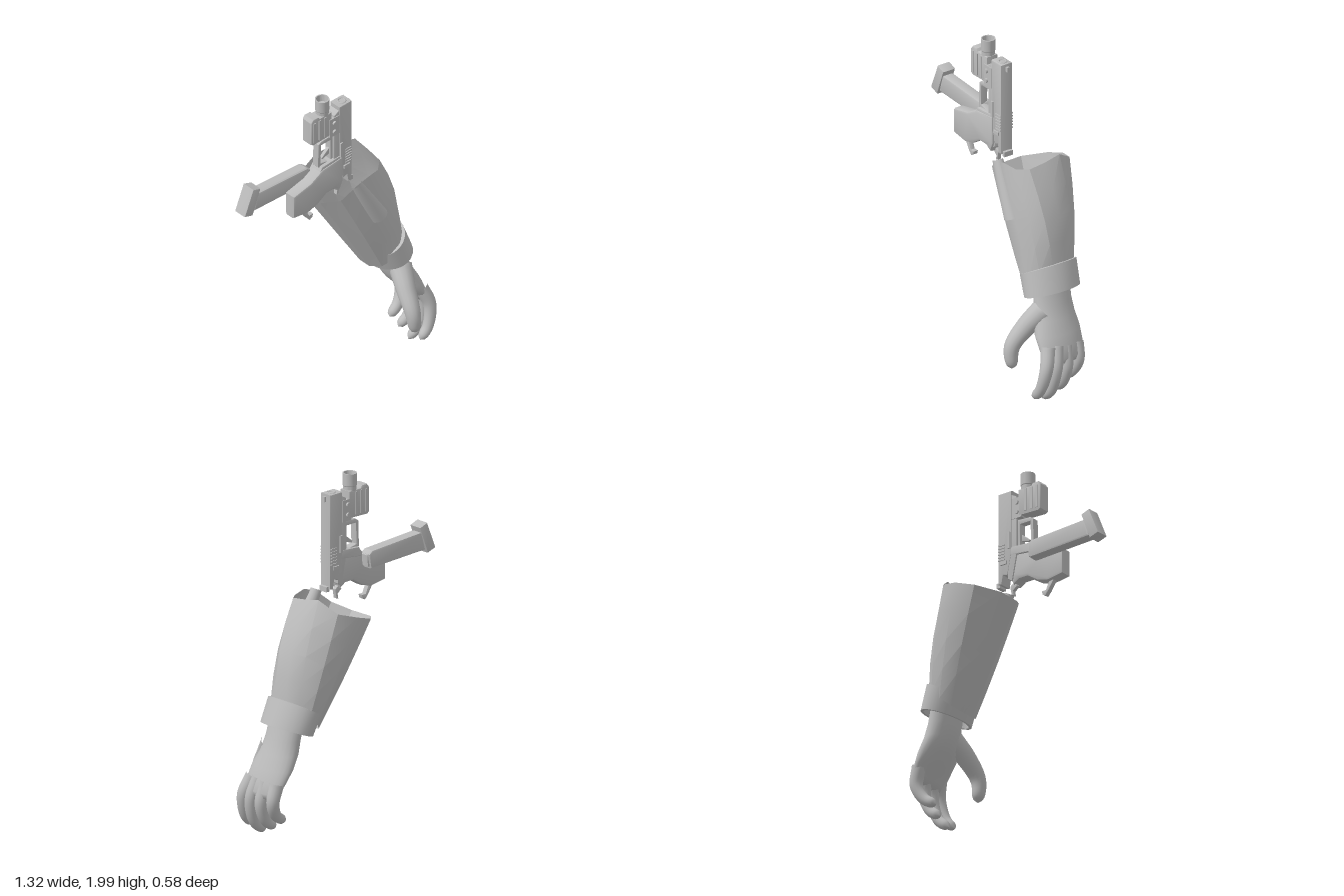
import * as THREE from 'three';
import { mergeVertices, toCreasedNormals } from 'three/addons/utils/BufferGeometryUtils.js';

const grey = new THREE.MeshStandardMaterial({ color: 0xbcbcbc });
grey.name = 'plain grey';
const greySheet = new THREE.MeshStandardMaterial({ color: 0xbcbcbc, side: THREE.DoubleSide });
greySheet.name = 'plain grey sheet';

const V = (x, y, z) => new THREE.Vector3(x, y, z);

function add(group, name, geometry, material = grey) {
  const mesh = new THREE.Mesh(geometry, material);
  mesh.name = name;
  group.add(mesh);
  return mesh;
}

// Skin between closed rings that hold the same number of points
function loft(rings, crease) {
  const n = rings[0].length, pos = [], index = [];
  rings.forEach(r => r.forEach(p => pos.push(p.x, p.y, p.z)));
  for (let r = 0; r < rings.length - 1; r++) {
    for (let i = 0; i < n; i++) {
      const a = r * n + i, b = r * n + (i + 1) % n;
      index.push(a, b, b + n, a, b + n, a + n);
    }
  }
  const g = new THREE.BufferGeometry();
  g.setAttribute('position', new THREE.Float32BufferAttribute(pos, 3));
  g.setIndex(index);
  g.computeVertexNormals();
  return crease ? toCreasedNormals(g, crease) : g;
}

// Ellipse ring in x and z; tilt raises the +x side
function ring(x, y, z, rx, rz, tilt = 0, n = 24) {
  return Array.from({ length: n }, (_, i) => {
    const a = i / n * Math.PI * 2;
    return V(x + rx * Math.cos(a), y + tilt * Math.cos(a), z + rz * Math.sin(a));
  });
}

// Tapered round limb along a curve, with a rounded tip
function limb(points, r0, r1) {
  const curve = new THREE.CatmullRomCurve3(points.map(p => V(...p)));
  const steps = 22, n = 14, frames = curve.computeFrenetFrames(steps);
  const rings = [];
  for (let s = 0; s <= steps; s++) {
    const t = s / steps, c = curve.getPointAt(t);
    const tip = t > 0.86 ? Math.sqrt(Math.max(0.0004, 1 - ((t - 0.86) / 0.14) ** 2)) : 1;
    const r = THREE.MathUtils.lerp(r0, r1, t) * tip;
    rings.push(Array.from({ length: n }, (_, i) => {
      const a = i / n * Math.PI * 2;
      return c.clone().addScaledVector(frames.normals[s], r * Math.cos(a))
        .addScaledVector(frames.binormals[s], r * Math.sin(a));
    }));
  }
  return loft(rings);
}

// Front outline extruded between two z values with a small bevel
function slab(points, z0, z1, bevel = 0.005, smooth = false, hole) {
  const vec = points.map(p => new THREE.Vector2(...p));
  const shape = new THREE.Shape();
  if (smooth) shape.moveTo(vec[0].x, vec[0].y).splineThru([...vec.slice(1), vec[0]]);
  else shape.setFromPoints(vec);
  if (hole) shape.holes.push(new THREE.Path(hole.map(p => new THREE.Vector2(...p))));
  const g = new THREE.ExtrudeGeometry(shape, {
    depth: z1 - z0 - 2 * bevel, bevelEnabled: bevel > 0, bevelSize: bevel,
    bevelThickness: bevel, bevelOffset: -bevel, bevelSegments: 2, curveSegments: 6,
  });
  g.translate(0, 0, z0 + bevel);
  return toCreasedNormals(g, 0.6);
}

function box(x0, x1, y0, y1, z0, z1) {
  return new THREE.BoxGeometry(x1 - x0, y1 - y0, z1 - z0)
    .translate((x0 + x1) / 2, (y0 + y1) / 2, (z0 + z1) / 2);
}

function buildSleeve(g) {
  // Uneven open rim, then a bulging middle and a slanted wrist end
  const rim = [
    [0.33, 1.355, 0.06], [0.27, 1.345, 0.11], [0.18, 1.355, 0.13], [0.1, 1.33, 0.125],
    [0.01, 1.25, 0.09], [-0.055, 1.21, -0.01], [-0.06, 1.21, -0.16], [0.045, 1.245, -0.27],
    [0.165, 1.285, -0.29], [0.28, 1.32, -0.25], [0.33, 1.39, -0.145], [0.335, 1.37, -0.04],
  ].map(p => V(...p));
  const end = rim.map((_, i) => {
    const a = (i + 0.5) / 12 * Math.PI * 2;
    return V(0.395 + 0.11 * Math.cos(a), 0.7 + 0.1 * Math.cos(a), -0.02 + 0.16 * Math.sin(a));
  });
  const between = t => rim.map((p, i) => {
    const a = (i + 0.5) / 12 * Math.PI * 2, bulge = Math.sin(t * Math.PI);
    const q = p.clone().lerp(end[i], t);
    q.x += bulge * 0.04 * Math.max(0, Math.cos(a));
    q.z += bulge * 0.012 * Math.sin(a);
    return q;
  });
  add(g, 'sleeve', loft([0, 0.25, 0.5, 0.75, 1].map(between), 0.5), greySheet);

  // Half-round duct on the front, ending in a flat lip
  const duct = [[0.1, 1.34, 0.115, 0.03], [0.18, 1.19, 0.12, 0.042], [0.262, 1.04, 0.125, 0.05], [0.262, 1.04, 0.125, 0.001]];
  add(g, 'sleeveDuct', loft(duct.map(([x, y, z, r]) => ring(0, 0, 0, r, r, 0, 16)
    .map(p => V(x + p.x, y + p.x * 0.45, z + p.z))), 0.7));

  // Cuff band
  add(g, 'cuff', loft([
    ring(0.395, 0.755, -0.02, 0.1, 0.155, 0.06), ring(0.395, 0.755, -0.02, 0.12, 0.175, 0.065),
    ring(0.447, 0.625, -0.01, 0.122, 0.172, 0.045), ring(0.447, 0.625, -0.01, 0.105, 0.155, 0.04),
  ], 0.6), greySheet);
}

function buildHand(g) {
  // Wrist to knuckles: centre x, y, z, half width x, half width z
  const palm = [
    [0.43, 0.74, -0.01, 0.07, 0.11], [0.445, 0.66, -0.005, 0.075, 0.117], [0.465, 0.58, 0, 0.078, 0.117],
    [0.488, 0.5, 0.005, 0.082, 0.128], [0.53, 0.42, 0.015, 0.078, 0.145], [0.572, 0.35, 0.02, 0.06, 0.142],
    [0.602, 0.29, 0.027, 0.045, 0.13], [0.61, 0.26, 0.03, 0.03, 0.11], [0.61, 0.25, 0.03, 0.001, 0.002],
  ];
  add(g, 'palm', loft(palm.map(p => ring(...p))));
  const fingers = {
    indexFinger: [[0.585, 0.36, 0.115], [0.622, 0.24, 0.155], [0.59, 0.11, 0.173], [0.53, 0.045, 0.175]],
    middleFinger: [[0.59, 0.36, 0.06], [0.624, 0.23, 0.09], [0.59, 0.09, 0.102], [0.51, 0.018, 0.1]],
    ringFinger: [[0.59, 0.35, 0], [0.62, 0.22, 0.015], [0.58, 0.11, 0.02], [0.51, 0.058, 0.015]],
    littleFinger: [[0.585, 0.35, -0.075], [0.61, 0.24, -0.07], [0.57, 0.155, -0.052], [0.495, 0.105, -0.04]],
  };
  for (const name in fingers) add(g, name, limb(fingers[name], 0.043, 0.028));
  add(g, 'thumb', limb([[0.475, 0.54, 0.07], [0.435, 0.44, 0.165], [0.415, 0.33, 0.243], [0.425, 0.2, 0.25]], 0.068, 0.034));
}

function buildPistol(g) {
  // Slide, frame and grip
  add(g, 'slide', slab([[0, 1.54], [0, 1.915], [0.095, 1.915], [0.095, 1.36], [0.07, 1.355], [0.06, 1.41], [0.03, 1.4]], 0.008, 0.088, 0.008));
  add(g, 'frame', slab([[-0.035, 1.53], [-0.035, 1.87], [0.02, 1.9], [0.03, 1.38], [0, 1.36]], 0.012, 0.084));
  add(g, 'grip', slab([[-0.35, 1.315], [-0.35, 1.465], [-0.22, 1.495], [-0.13, 1.545], [0.02, 1.56], [0.025, 1.4],
    [0, 1.34], [-0.04, 1.365], [-0.1, 1.365], [-0.17, 1.32], [-0.24, 1.3]], 0.022, 0.098, 0.015));
  add(g, 'gripCollar', slab([[-0.17, 1.5], [-0.13, 1.56], [0.01, 1.57], [0.01, 1.52]], 0.01, 0.09));
  add(g, 'triggerGuard', slab([[-0.145, 1.56], [-0.14, 1.71], [-0.12, 1.725], [-0.03, 1.73], [-0.03, 1.54], [-0.12, 1.53]],
    0.025, 0.07, 0.004, false, [[-0.125, 1.575], [-0.05, 1.56], [-0.05, 1.7], [-0.12, 1.7]]));
  add(g, 'trigger', slab([[-0.05, 1.6], [-0.1, 1.585], [-0.105, 1.595], [-0.075, 1.62], [-0.05, 1.64]], 0.038, 0.058, 0.002));
  add(g, 'hammer', slab([[0, 1.36], [0.03, 1.34], [0.02, 1.285], [0.005, 1.28], [0.01, 1.31], [-0.02, 1.335]], 0.035, 0.06, 0.003));
  add(g, 'gripHook', slab([[-0.27, 1.305], [-0.235, 1.25], [-0.21, 1.222], [-0.19, 1.235], [-0.185, 1.255],
    [-0.215, 1.255], [-0.235, 1.3]], 0.045, 0.075, 0.003));

  // Sights, levers and slide grooves
  add(g, 'frontSight', box(0.09, 0.11, 1.87, 1.9, 0.04, 0.056));
  add(g, 'rearSight', box(0.09, 0.113, 1.345, 1.375, 0.02, 0.076));
  add(g, 'muzzle', new THREE.TorusGeometry(0.022, 0.006, 8, 20).rotateX(Math.PI / 2).translate(0.052, 1.914, 0.048));
  for (const z of [0.006, 0.09]) {
    add(g, 'slideLever', box(0.005, 0.022, 1.56, 1.66, z - 0.006, z + 0.006));
    add(g, 'safetyLever', box(0.03, 0.075, 1.47, 1.49, z - 0.006, z + 0.006));
    for (let i = 0; i < 6; i++) add(g, 'slideRib', box(0.045, 0.09, 1.5 + i * 0.018, 1.508 + i * 0.018, z - 0.003, z + 0.003));
    for (const y of [1.77, 1.83]) {
      add(g, 'mountScrew', new THREE.CylinderGeometry(0.013, 0.013, 0.012, 14).rotateX(Math.PI / 2).translate(-0.04, y, z + (z > 0.05 ? 0.006 : -0.002)));
    }
  }

  // Lamp with a hollow head, held on a side mount
  add(g, 'lampMount', box(-0.07, 0, 1.735, 1.86, 0.008, 0.088));
  add(g, 'lampBody', slab([[-0.205, 1.75], [-0.205, 1.9], [-0.19, 1.92], [-0.15, 1.92], [-0.14, 1.905], [-0.05, 1.905],
    [-0.05, 1.745], [-0.19, 1.74]], 0.006, 0.082, 0.008));
  for (const x of [-0.19, -0.15, -0.11]) add(g, 'lampRib', box(x, x + 0.015, 1.76, 1.895, 0.002, 0.087));
  const head = [[0.001, 1.9], [0.038, 1.9], [0.038, 1.925], [0.041, 1.93], [0.041, 2], [0.034, 2], [0.03, 1.96], [0.001, 1.955]];
  add(g, 'lampHead', toCreasedNormals(new THREE.LatheGeometry(head.map(p => new THREE.Vector2(...p)), 28), 0.5)
    .translate(-0.09, 0, 0.044));
}

function buildMagazine(g) {
  // Loose magazine lying behind the grip
  add(g, 'magazineBody', slab([[-0.59, 1.45], [-0.56, 1.56], [-0.18, 1.54], [-0.155, 1.52], [-0.17, 1.435]], -0.048, 0.024, 0.012));
  add(g, 'magazineLip', slab([[-0.19, 1.44], [-0.18, 1.535], [-0.15, 1.515], [-0.155, 1.45]], -0.035, 0.012, 0.004));
  add(g, 'magazineBase', slab([[-0.66, 1.45], [-0.595, 1.61], [-0.54, 1.59], [-0.6, 1.43]], -0.054, 0.03, 0.006));
}

export function createModel() {
  const model = new THREE.Group();
  model.name = 'armAndPistol';
  const parts = { forearm: buildSleeve, hand: buildHand, pistol: buildPistol, magazine: buildMagazine };
  for (const name in parts) {
    const group = new THREE.Group();
    group.name = name;
    parts[name](group);
    model.add(group);
  }
  return model;
}
